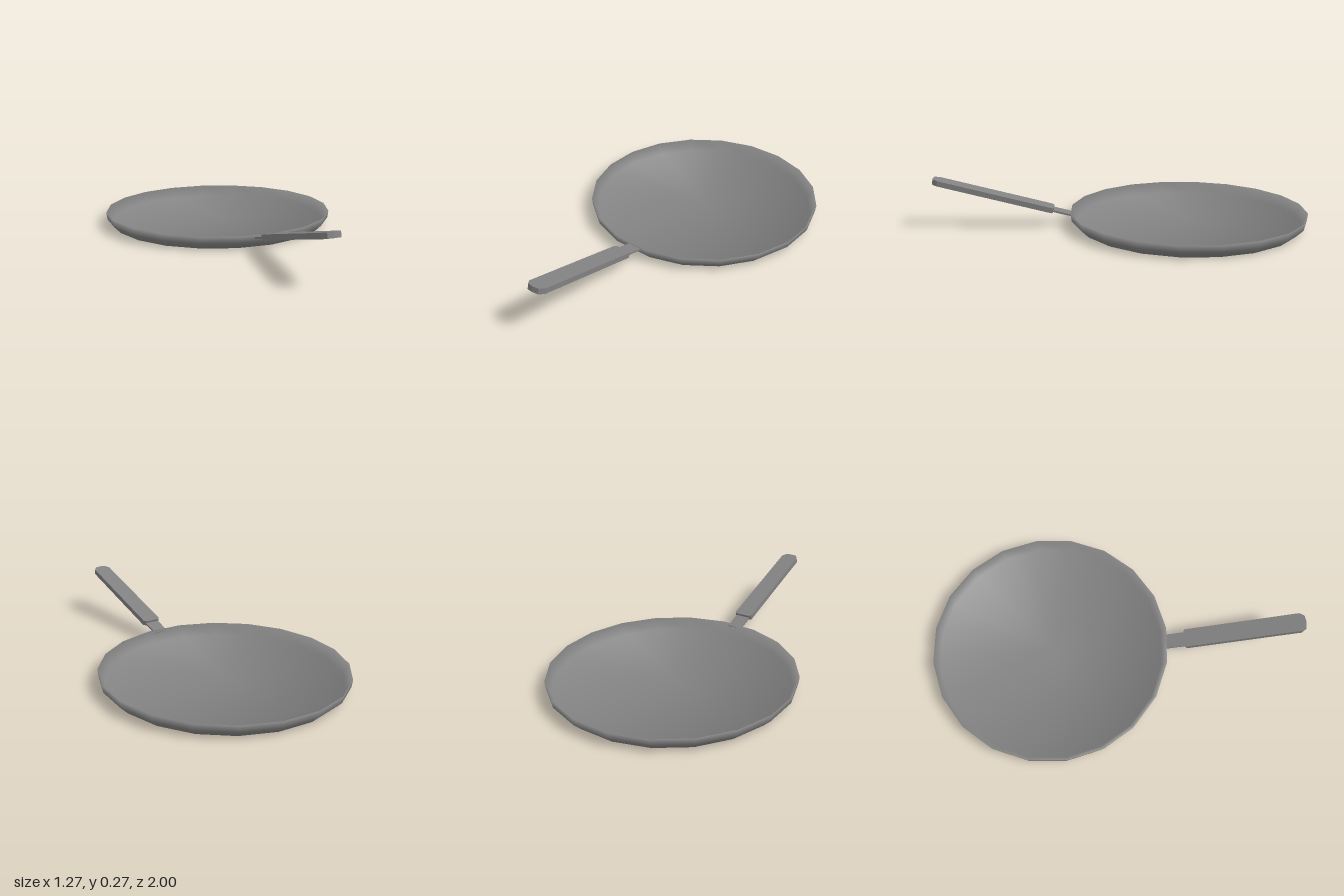
import * as THREE from 'three';

const material = new THREE.MeshStandardMaterial({ color: 0x828282, side: THREE.DoubleSide });

// Lathe whose normals weigh neighbouring bands equally, so flat discs shade softly towards the rim
function softLathe(points, sides) {
  const geometry = new THREE.LatheGeometry(points, sides);
  const bands = points.slice(1).map((p, i) => {
    const d = p.clone().sub(points[i]).normalize();
    return new THREE.Vector2(d.y, -d.x);
  });
  const rows = points.map((_, i) => {
    const before = bands[Math.max(i - 1, 0)];
    const after = bands[Math.min(i, bands.length - 1)];
    return before.clone().add(after).normalize();
  });
  const normal = geometry.attributes.normal;
  for (let i = 0; i < normal.count; i++) {
    const n = rows[i % points.length];
    const phi = Math.floor(i / points.length) / sides * Math.PI * 2;
    normal.setXYZ(i, n.x * Math.sin(phi), n.y, n.x * Math.cos(phi));
  }
  return geometry;
}

// Flat bar with chamfered ends, lying along +z from z0 to z1
function bar(name, halfWidth, z0, z1, thickness, chamfer0, chamfer1) {
  const w = halfWidth;
  const right = [
    [w - chamfer0 * 1.4, z0], [w, z0 + chamfer0],
    [w, z1 - chamfer1 * 1.7], [w - chamfer1, z1 - chamfer1 * 0.3], [0, z1],
  ];
  const left = right.slice(0, 4).reverse().map(([x, z]) => [-x, z]);
  const shape = new THREE.Shape([...right, ...left].map(([x, z]) => new THREE.Vector2(x, z)));
  const geometry = new THREE.ExtrudeGeometry(shape, { depth: thickness, bevelEnabled: false });
  geometry.translate(0, 0, -thickness / 2).rotateX(Math.PI / 2);
  const mesh = new THREE.Mesh(geometry, material);
  mesh.name = name;
  return mesh;
}

export function createModel() {
  const model = new THREE.Group();
  model.name = 'fryingPan';

  // Dish: flat base, flared wall, sharp rim, inner wall and thin cooking floor
  const profile = [
    [0, 0], [0.597, 0], [0.634, 0.036], [0.639, 0.073], [0.61, 0.013], [0, 0.013],
  ].map(([r, y]) => new THREE.Vector2(r, y));
  const dish = new THREE.Mesh(softLathe(profile, 20), material);
  dish.name = 'dish';
  dish.position.z = -0.363;
  dish.rotation.y = THREE.MathUtils.degToRad(6);
  model.add(dish);

  // Handle rising towards the front: thin neck and thicker grip
  const handle = new THREE.Group();
  handle.name = 'handle';
  handle.position.set(-0.008, 0.059, 0.26);
  handle.rotation.x = -0.258;
  const neck = bar('neck', 0.039, 0.002, 0.13, 0.01, 0, 0);
  neck.position.y = -0.003;
  handle.add(neck, bar('grip', 0.05, 0.106, 0.762, 0.028, 0.01, 0.018));
  model.add(handle);

  return model;
}
